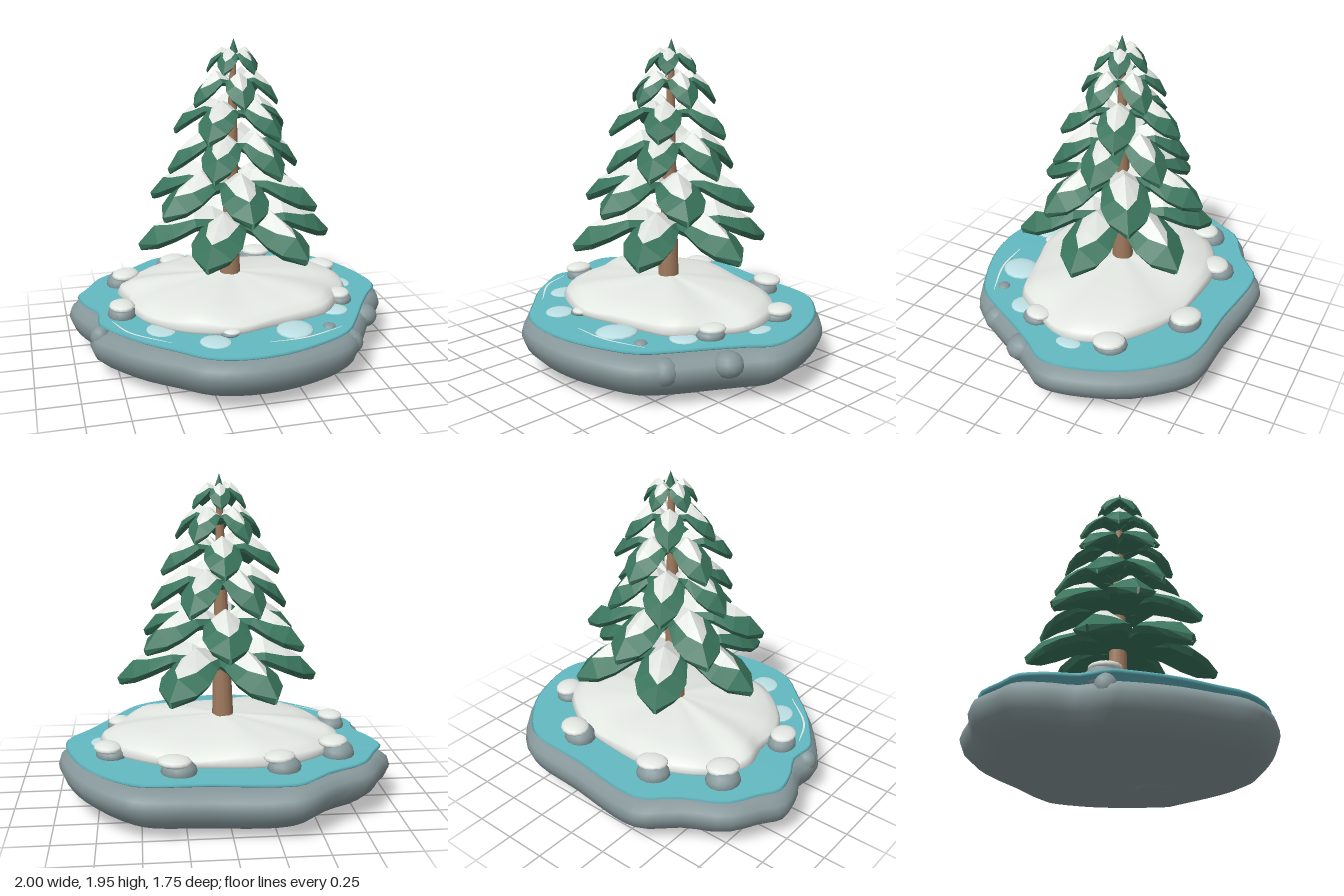
import * as THREE from 'three';

const mat = (name, color) => Object.assign(new THREE.MeshStandardMaterial({ color }), { name });

// Outlines (x, z), counter-clockwise seen from above
const SHORE = [[0.995, -0.1], [0.94, -0.33], [0.83, -0.55], [0.61, -0.77], [0.48, -0.815], [0.15, -0.83],
  [-0.1, -0.86], [-0.27, -0.875], [-0.4, -0.86], [-0.6, -0.7], [-0.82, -0.58], [-0.93, -0.4], [-1, -0.28],
  [-0.97, -0.12], [-0.9, 0.03], [-0.91, 0.2], [-0.86, 0.29], [-0.7, 0.5], [-0.5, 0.68], [-0.35, 0.81],
  [-0.15, 0.87], [0.1, 0.86], [0.35, 0.78], [0.55, 0.67], [0.67, 0.5], [0.78, 0.31], [0.89, 0.14], [0.98, 0.02]];
const DRIFT = [[0.74, -0.1], [0.65, -0.32], [0.5, -0.45], [0.3, -0.55], [0.05, -0.59], [-0.2, -0.6],
  [-0.38, -0.55], [-0.55, -0.45], [-0.65, -0.33], [-0.7, -0.2], [-0.66, -0.05], [-0.65, 0.1], [-0.6, 0.25],
  [-0.45, 0.42], [-0.3, 0.5], [-0.1, 0.55], [0.1, 0.5], [0.3, 0.45], [0.5, 0.38], [0.62, 0.2], [0.72, 0.05]];

// Closed body from an outline; each ring is [scale, height]
function loft(outline, rings, cx, cz, wobble = () => 0) {
  const n = 72, pos = [], idx = [];
  const curve = new THREE.CatmullRomCurve3(outline.map(([x, z]) => new THREE.Vector3(x, 0, z)), true);
  const pts = curve.getPoints(n).slice(0, n);
  rings.forEach(([s, y], k) => pts.forEach((p, i) => {
    const a = (i / n) * Math.PI * 2;
    pos.push(cx + (p.x - cx) * s, y + wobble(a, s, k), cz + (p.z - cz) * s);
    if (k === rings.length - 1) return;
    const j = (i + 1) % n, a0 = k * n + i, a1 = k * n + j;
    idx.push(a0, a1, a1 + n, a0, a1 + n, a0 + n);
  }));
  const g = new THREE.BufferGeometry();
  g.setAttribute('position', new THREE.Float32BufferAttribute(pos, 3));
  g.setIndex(idx);
  g.computeVertexNormals();
  return g;
}

// Arched, roof-shaped branch pointing along +x; returns green and snow geometry
function branch(reach, drop) {
  const k = Math.pow(reach / 0.6, 0.7);
  // [along, ridge drop, half width, snow share, edge drop]
  const stations = [[0.04, 0.42, 0.05, 0.75, 0.03], [0.25, 0.12, 0.11, 0.72, 0.08], [0.46, 0, 0.14, 0.66, 0.11],
    [0.68, 0.26, 0.155, 0.43, 0.1], [0.84, 0.52, 0.12, 0, 0.08], [1, 0.96, 0.008, 0, 0.005]];
  const green = [], snow = [];
  const quad = (out, p, side) => {
    const order = side > 0 ? [0, 1, 2, 0, 2, 3] : [0, 2, 1, 0, 3, 2];
    order.forEach(i => out.push(p[i][0], p[i][1], p[i][2] * side));
  };
  const rows = stations.map(([s, d, w, share, e]) => {
    const x = s * reach, y = -d * drop, W = w * k, E = e * k, t = 0.035 * k;
    return [[x, y, 0], [x, y - E * share, W * share], [x, y - E, W],
      [x * 0.98, y - E - t, W * 0.82], [x * 0.96, y - E - t * 1.2, 0]];
  });
  for (let i = 0; i < rows.length - 1; i++) for (const side of [1, -1]) for (let j = 0; j < 4; j++) {
    const a = rows[i], b = rows[i + 1];
    if (j === 0 && stations[i][3] === 0) continue;
    quad(j === 0 ? snow : green, [a[j], a[j + 1], b[j + 1], b[j]], side);
  }
  return [green, snow].map(list => {
    const g = new THREE.BufferGeometry();
    g.setAttribute('position', new THREE.Float32BufferAttribute(list, 3));
    g.computeVertexNormals();
    return g;
  });
}

// Flat ribbon along a curve, thinning towards both ends
function ribbon(points, y, width) {
  const curve = new THREE.CatmullRomCurve3(points.map(([x, z]) => new THREE.Vector3(x, y, z)));
  const g = new THREE.PlaneGeometry(1, 1, 20, 1), p = g.attributes.position;
  for (let i = 0; i < p.count; i++) {
    const u = p.getX(i) + 0.5, c = curve.getPoint(u), t = curve.getTangent(u);
    const w = p.getY(i) * width * (0.3 + 0.7 * Math.sin(Math.PI * u));
    p.setXYZ(i, c.x + t.z * w, y, c.z - t.x * w);
  }
  g.computeVertexNormals();
  return g;
}

export function createModel() {
  const rock = mat('rock grey', 0x86979a), water = mat('water teal', 0x63b9c2), snow = mat('snow white', 0xe6eae5);
  const needles = mat('needle green', 0x3a745c), bark = mat('bark brown', 0xa07a5e), ice = mat('ice blue', 0xbce0e4);
  water.side = needles.side = snow.side = THREE.DoubleSide;

  const root = new THREE.Group();
  root.name = 'snowyTreeIsland';
  const add = (parent, name, geo, m, x = 0, y = 0, z = 0) => {
    const o = new THREE.Mesh(geo, m);
    o.name = name;
    o.position.set(x, y, z);
    parent.add(o);
    return o;
  };

  // Rock base
  add(root, 'rockBase', loft(SHORE, [[0, 0.035], [0.55, 0.03], [0.8, 0.04], [0.9, 0.08], [0.97, 0.14], [1, 0.21],
    [0.985, 0.26], [0.94, 0.29], [0.86, 0.303], [0, 0.308]], 0, 0,
  (a, s, k) => (k > 0 && k < 9 ? 0.015 * s * Math.sin(a * 3 + 1) : 0)), rock);

  // Water sheet
  add(root, 'water', loft(SHORE.map(([x, z]) => [x * 0.95 + 0.005, z * 0.955]),
    [[0, 0.325], [0.985, 0.325], [1, 0.335], [0.985, 0.345], [0, 0.345]], 0, 0), water);

  // Snow mound with soft radial folds
  add(root, 'snowMound', loft(DRIFT, [[0.96, 0.335], [1, 0.365], [0.97, 0.4], [0.88, 0.435], [0.7, 0.462],
    [0.4, 0.484], [0.12, 0.5], [0, 0.51]], 0, -0.06,
  (a, s, k) => (k > 1 ? 0.012 * s * Math.sin(a * 5) + 0.006 * s * Math.sin(a * 9 + 2) : 0)), snow);

  // Tree
  const tree = new THREE.Group();
  tree.name = 'tree';
  tree.position.set(0.005, 0, -0.06);
  root.add(tree);
  const trunk = add(tree, 'trunk', new THREE.CylinderGeometry(0.016, 0.066, 1.42, 12), bark, 0, 1.17, 0);
  trunk.rotation.z = -0.015;
  // Tiers: reach, peak, tip, branch count, first angle in degrees, offset x, offset z
  [[0.6, 0.97, 0.73, 6, 0, 0.025, 0.02], [0.53, 1.2, 0.97, 6, 30, -0.005, 0.01], [0.4, 1.42, 1.18, 6, 0, 0.01, 0],
    [0.365, 1.61, 1.4, 5, 90, 0.01, 0], [0.265, 1.77, 1.58, 5, 270, 0.012, 0], [0.16, 1.9, 1.76, 5, 90, 0.015, 0],
  ].forEach(([reach, peak, tip, count, start, dx, dz], t) => {
    const [greenGeo, snowGeo] = branch(reach, peak - tip);
    for (let i = 0; i < count; i++) {
      const b = new THREE.Group();
      b.name = 'branch';
      b.position.set(dx, peak, dz);
      b.rotation.y = THREE.MathUtils.degToRad(start + i * 360 / count);
      const s = 1 + 0.02 * Math.sin(i * 2.4 + t);
      b.scale.set(s, 1, s);
      add(b, 'branchNeedles', greenGeo, needles);
      add(b, 'branchSnow', snowGeo, snow);
      tree.add(b);
    }
  });
  add(tree, 'treeTip', new THREE.ConeGeometry(0.035, 0.1, 6), needles, 0.012, 1.9, 0);
  add(tree, 'treeTipBase', new THREE.ConeGeometry(0.035, 0.05, 6), needles, 0.012, 1.825, 0).rotation.x = Math.PI;

  // Shore stones with snow caps: x, z, radius, cap height, cap shift x, z
  const ball = new THREE.SphereGeometry(1, 14, 8);
  [[-0.3, -0.61, 0.1, 0.415, 0.025, 0.02], [0.29, -0.61, 0.105, 0.42, 0.025, -0.015],
    [0.67, -0.31, 0.1, 0.4, 0.02, 0], [0.63, 0.2, 0.085, 0.395, 0, -0.015], [-0.71, 0.1, 0.095, 0.415, 0, 0.015],
    [-0.65, -0.41, 0.105, 0.42, 0.025, 0.03], [-0.15, 0.53, 0.055, 0.37, 0.01, 0],
  ].forEach(([x, z, r, top, dx, dz]) => {
    const stone = add(root, 'shoreStone', ball, rock, x, 0.355, z);
    stone.scale.set(r, (top - 0.355) * 1.15, r * 0.9);
    const cap = add(root, 'stoneSnow', ball, snow, x + dx, top - 0.005, z + dz);
    cap.scale.set(r * 0.95, r * 0.3, r * 0.8);
    stone.rotation.y = cap.rotation.y = Math.atan2(x, z);
  });

  // Bare stones set into the rim and underside: x, y, z, radius, height
  [[-0.85, 0.25, 0.17, 0.06, 0.07], [0.785, 0.235, 0.215, 0.09, 0.075], [0.585, 0.21, 0.505, 0.085, 0.08],
    [0.28, 0.05, 0.08, 0.13, 0.045], [0.44, 0.34, 0.55, 0.04, 0.022]].forEach(([x, y, z, r, h]) => {
    add(root, 'rimStone', ball, rock, x, y, z).scale.set(r, h, r);
  });

  // Ice floes, low rounded slabs: x, z, half width, half depth, height, turn
  [[-0.52, 0.37, 0.085, 0.1, 0.01, 0.3], [-0.25, 0.6, 0.085, 0.095, 0.015, 0.8], [0.23, 0.55, 0.11, 0.125, 0.025, -0.4],
    [0.55, 0.33, 0.085, 0.085, 0.015, 0.2], [0.75, -0.08, 0.05, 0.08, 0.01, 0]].forEach(([x, z, w, d, h, turn]) => {
    const f = add(root, 'iceFloe', ball, ice, x, 0.344, z);
    f.scale.set(w, h, d);
    f.rotation.y = turn;
  });

  // Ripple lines on the water
  [[[-0.78, 0.19], [-0.7, 0.37], [-0.49, 0.56]], [[0.04, 0.68], [0.26, 0.67], [0.51, 0.58]]].forEach(line =>
    add(root, 'ripple', ribbon(line, 0.349, 0.012), snow));
  return root;
}
